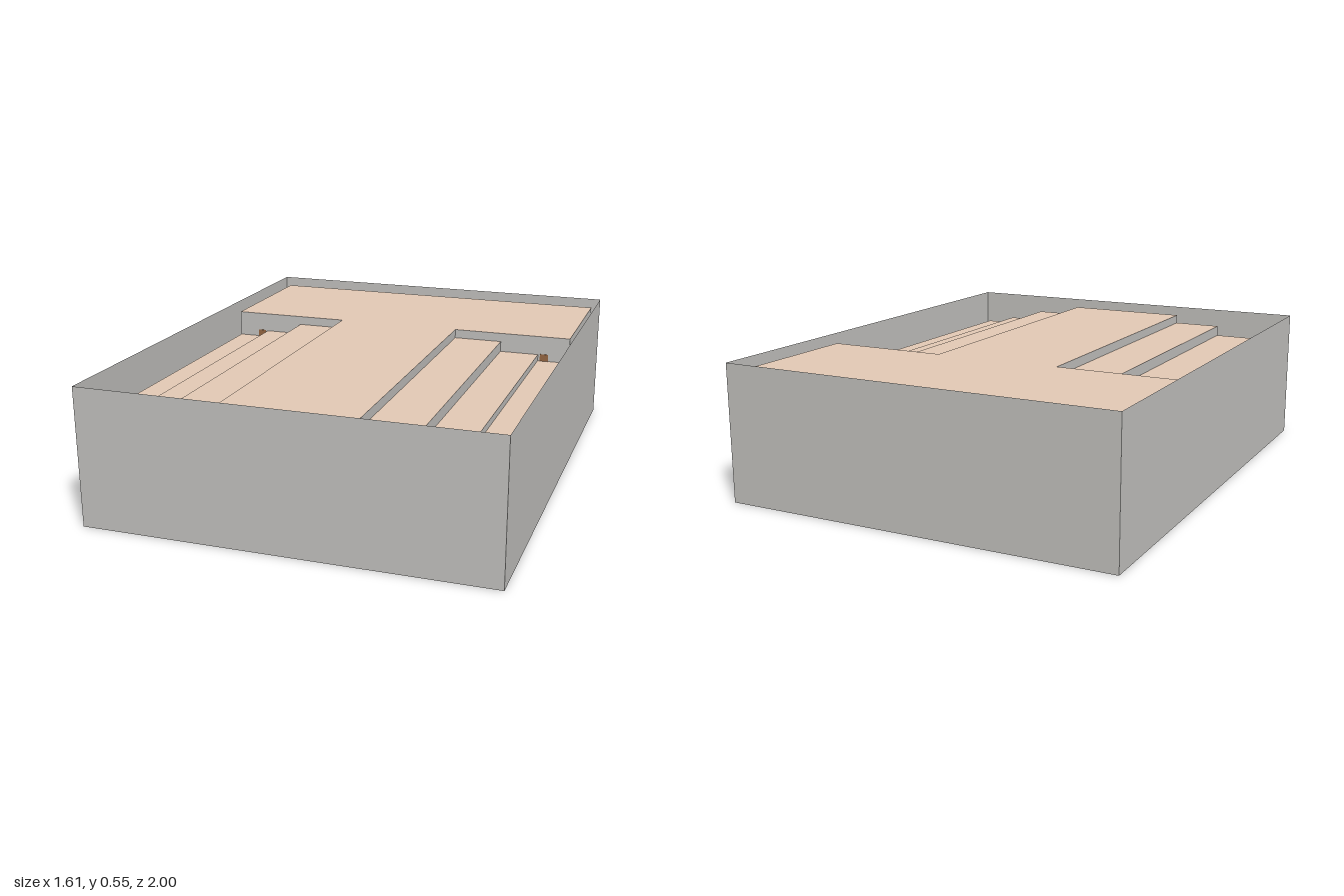
import * as THREE from 'three';

const mat = (name, color, side = THREE.DoubleSide) => {
  const m = new THREE.MeshStandardMaterial({ color, side });
  m.name = name;
  return m;
};
const V = (x, y, z) => new THREE.Vector3(x, y, z);

// Sheet swept from a line of points along one offset, with sharp folds
function ribbon(points, offset) {
  const pos = [];
  for (let i = 0; i + 1 < points.length; i++) {
    const a = points[i], b = points[i + 1];
    const c = b.clone().add(offset), d = a.clone().add(offset);
    for (const p of [a, b, c, a, c, d]) pos.push(p.x, p.y, p.z);
  }
  const g = new THREE.BufferGeometry();
  g.setAttribute('position', new THREE.Float32BufferAttribute(pos, 3));
  g.computeVertexNormals();
  return g;
}

export function createModel() {
  const group = new THREE.Group();
  const grey = mat('concrete grey', 0xc5c4c1);
  const beige = mat('ceiling beige', 0xe5cbb7);
  const tan = mat('wall tan', 0xd1b687, THREE.FrontSide);
  const brown = mat('stage brown', 0x986843);
  const dark = mat('floor slate', 0x64737c);
  const blue = mat('stage front blue grey', 0x74828e);
  const add = (name, geometry, material) => {
    const m = new THREE.Mesh(geometry, material);
    m.name = name;
    group.add(m);
    return m;
  };

  const W = 0.805, IX = 0.77, ZB = -0.965, ZP = -0.36, ZF = 0.96;
  const BASE = 0.02, STAGE = 0.09, TOP = 0.518;

  // Outer shell, open above and below
  const ring = [V(-W, 0, 1), V(W, 0, 1), V(W, 0, -1), V(-W, 0, -1), V(-W, 0, 1)];
  add('outerWalls', ribbon(ring, V(0, 0.552, 0)), grey);

  // Stepped hall ceiling, mirrored about the middle: beige levels, grey risers
  const half = [[IX, 0.41], [0.635, 0.41], [0.635, 0.437], [0.47, 0.437],
    [0.47, 0.481], [0.265, 0.481], [0.265, TOP]];
  const profile = [
    ...half.map(([x, y]) => V(-x, y, ZP)),
    ...half.slice().reverse().map(([x, y]) => V(x, y, ZP)),
  ];
  for (let i = 0; i + 1 < profile.length; i++) {
    const level = i % 2 === 0;
    add(level ? 'ceilingLevel' : 'ceilingRiser',
      ribbon(profile.slice(i, i + 2), V(0, 0, ZF - ZP)), level ? beige : grey);
  }
  add('stageCeiling', ribbon([V(-IX, TOP, ZB), V(IX, TOP, ZB)], V(0, 0, ZP - ZB)), beige);

  // Hall walls, facing inwards
  for (const s of [-1, 1]) {
    const line = [V(s * IX, BASE, -0.3), V(s * IX, BASE, ZF)];
    if (s < 0) line.reverse();
    add('hallSideWall', ribbon(line, V(0, 0.39, 0)), tan);
  }
  const end = new THREE.Shape([
    new THREE.Vector2(-IX, BASE),
    ...profile.map(p => new THREE.Vector2(p.x, p.y)),
    new THREE.Vector2(IX, BASE),
  ]);
  add('hallEndWall', new THREE.ShapeGeometry(end).rotateY(Math.PI), tan).position.z = ZF;

  // Stage house
  add('stageHouseWalls', ribbon(
    [V(-IX, STAGE, ZP), V(-IX, STAGE, ZB), V(IX, STAGE, ZB), V(IX, STAGE, ZP)],
    V(0, TOP - STAGE, 0)), grey);

  // Wall around the stage opening
  const arch = new THREE.Shape();
  arch.moveTo(-IX, STAGE).lineTo(-0.6, STAGE).lineTo(-0.6, 0.37).lineTo(0.6, 0.37)
    .lineTo(0.6, STAGE).lineTo(IX, STAGE).lineTo(IX, TOP).lineTo(-IX, TOP);
  add('stageOpeningWall', new THREE.ShapeGeometry(arch), grey).position.z = ZP;
  for (const s of [-1, 1]) {
    add('stagePost', new THREE.BoxGeometry(0.036, 0.35, 0.004), brown)
      .position.set(s * 0.662, STAGE + 0.175, ZP + 0.001);
  }

  // Stage with a bowed front edge
  const stage = new THREE.Shape();
  stage.moveTo(-IX, -ZB).lineTo(-IX, 0.3).quadraticCurveTo(0, 0.1, IX, 0.3).lineTo(IX, -ZB);
  add('stageFloor', new THREE.ShapeGeometry(stage, 24).rotateX(-Math.PI / 2), brown)
    .position.y = STAGE;
  const front = new THREE.PlaneGeometry(2 * IX, STAGE - BASE, 24, 1);
  const p = front.attributes.position;
  for (let i = 0; i < p.count; i++) p.setZ(i, -0.2 - 0.1 * (p.getX(i) / IX) ** 2);
  front.computeVertexNormals();
  add('stageFront', front, blue).position.y = (STAGE + BASE) / 2;

  // Level floor before the stage
  const Z0 = -0.14, Z1 = 0.7, N = 12;
  const pit = new THREE.Shape();
  pit.moveTo(-IX, 0.3).quadraticCurveTo(0, 0.1, IX, 0.3).lineTo(IX, -Z0).lineTo(-IX, -Z0);
  add('levelFloor', new THREE.ShapeGeometry(pit, 24).rotateX(-Math.PI / 2), dark)
    .position.y = BASE;

  // Stepped seating tiers rising to the end wall
  const tiers = [V(-IX, BASE, Z0)];
  for (let i = 1; i <= N; i++) {
    const z = Z0 + (Z1 - Z0) * (i - 1) / (N - 1);
    const y = BASE + 0.14 * i / N;
    tiers.push(V(-IX, y, z));
    tiers.push(V(-IX, y, i < N ? Z0 + (Z1 - Z0) * i / (N - 1) : ZF));
  }
  add('seatingTiers', ribbon(tiers, V(2 * IX, 0, 0)), dark);

  return group;
}
